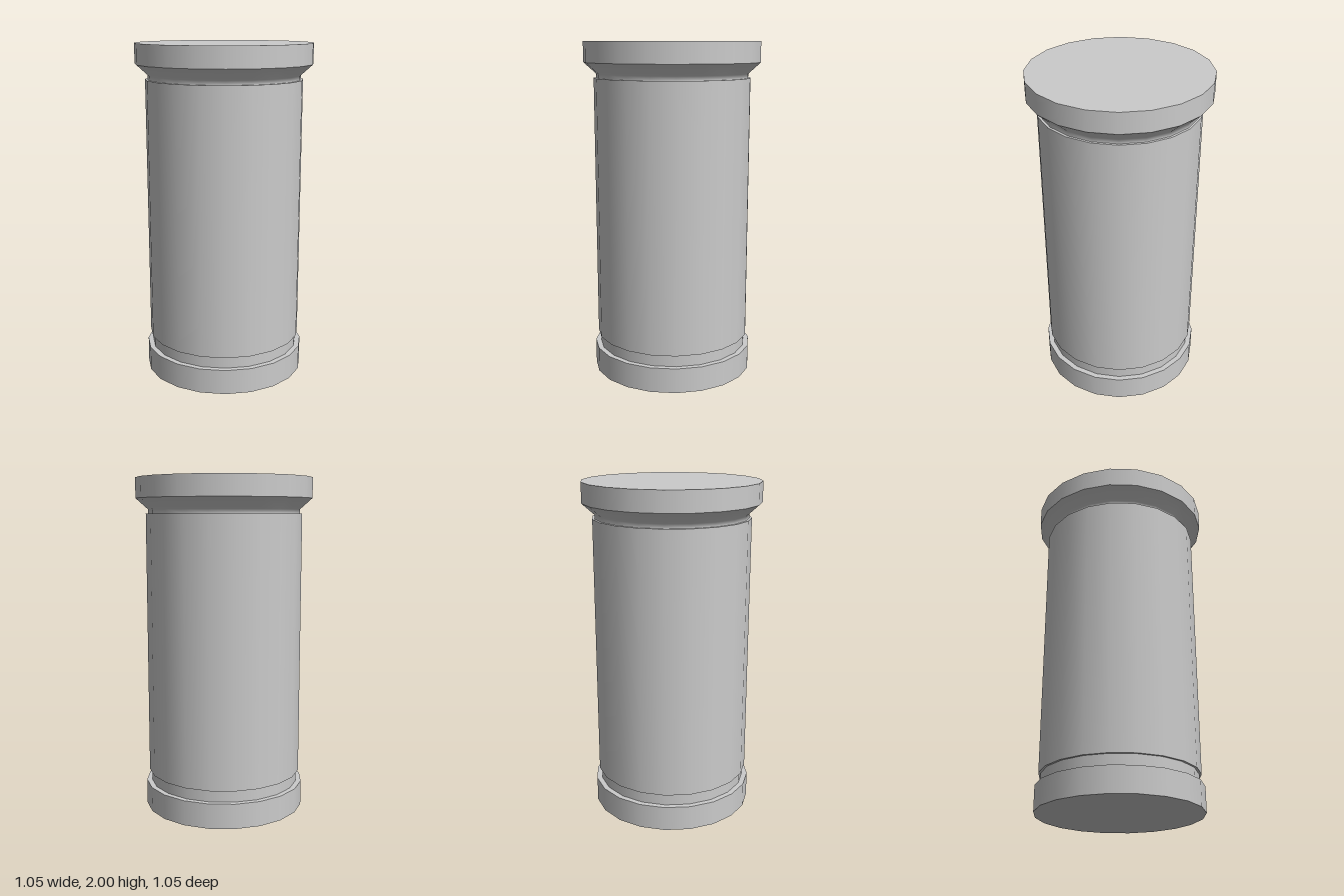
import * as THREE from 'three';
import { mergeGeometries } from 'three/addons/utils/BufferGeometryUtils.js';

const SIDES = 20;
const material = new THREE.MeshStandardMaterial({ color: 0xcccccc });

// Each band is a list of [radius, height] points: smooth inside, with a sharp edge between bands
function turned(name, bands) {
  const parts = bands.map((band) =>
    new THREE.LatheGeometry(band.map(([r, y]) => new THREE.Vector2(r, y)), SIDES));
  const mesh = new THREE.Mesh(mergeGeometries(parts), material);
  mesh.name = name;
  return mesh;
}

export function createModel() {
  const column = new THREE.Group();
  column.name = 'column';

  const base = 0.485, neck = 0.453, shaft = 0.467, cap = 0.526;

  column.add(
    // Plinth disc with its underside and top ledge
    turned('base', [
      [[0, 0], [base, 0]],
      [[base, 0], [base, 0.15]],
      [[base, 0.15], [neck, 0.15]],
    ]),
    // Recessed ring under the shaft
    turned('lowerNeck', [[[neck, 0.15], [neck, 0.22]]]),
    // Main drum with narrow ledges at both ends
    turned('shaft', [
      [[neck, 0.22], [shaft, 0.22]],
      [[shaft, 0.22], [shaft, 1.79]],
      [[shaft, 1.79], [neck, 1.79]],
    ]),
    // Recessed ring flaring out to the capital
    turned('upperNeck', [[[neck, 1.79], [neck, 1.815], [cap, 1.88]]]),
    // Flat capital disc
    turned('capital', [
      [[cap, 1.88], [cap, 2]],
      [[cap, 2], [0, 2]],
    ]),
  );
  return column;
}
